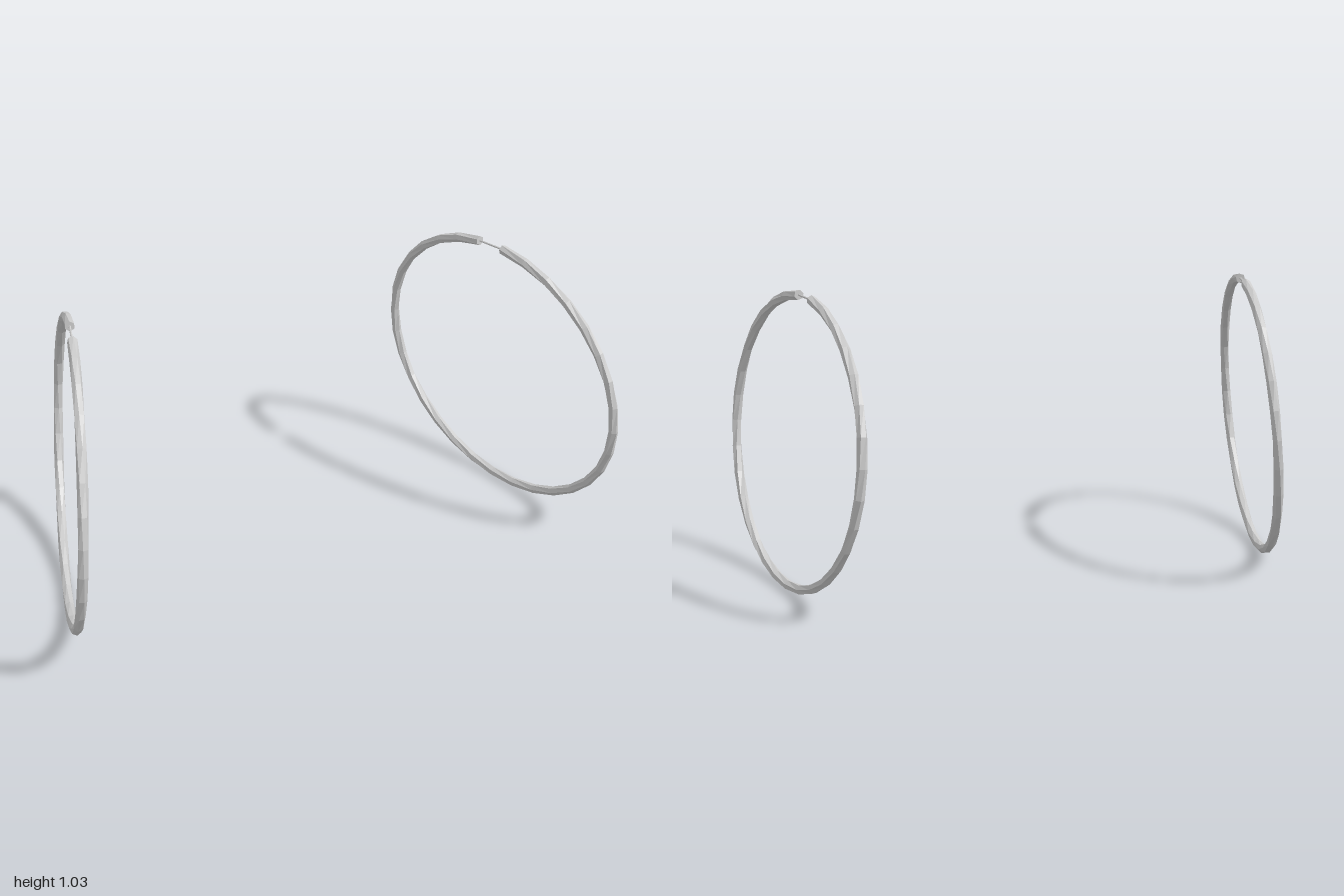
import * as THREE from 'three';

const SEGMENTS = 32;   // divisions around a full hoop, one of them left open
const SIDES = 6;
const TUBE_RADIUS = 0.0172;
const TWIST = THREE.MathUtils.degToRad(15); // turn of the facets per segment
const STEP = (Math.PI * 2) / SEGMENTS;
const START = Math.PI / 2 + THREE.MathUtils.degToRad(8.05); // rear edge of the gap

// Slightly oval hoop path, turned outward at the front and tilted inward at the top
class HoopCurve extends THREE.Curve {
  constructor(side) {
    super();
    this.side = side;
  }
  getPoint(t, target = new THREE.Vector3()) {
    const a = START + t * (Math.PI * 2 - STEP);
    const c = Math.cos(a), s = Math.sin(a);
    return target.set(
      this.side * (0.8385 + 0.138 * c - 0.046 * s),
      0.516 + 0.498 * s,
      0.543 * c
    );
  }
  // Even angular steps
  getUtoTmapping(u) {
    return u;
  }
  // Frames that turn steadily along the path, so the facets spiral
  computeFrenetFrames(segments, closed) {
    const frames = super.computeFrenetFrames(segments, closed);
    frames.tangents.forEach((tangent, i) => {
      frames.normals[i].applyAxisAngle(tangent, i * TWIST * this.side);
      frames.binormals[i].applyAxisAngle(tangent, i * TWIST * this.side);
    });
    return frames;
  }
}

function createHoop(side, material) {
  const hoop = new THREE.Group();
  hoop.name = side > 0 ? 'leftHoop' : 'rightHoop';
  const add = (name, geometry) => {
    const mesh = new THREE.Mesh(geometry, material);
    mesh.name = name;
    hoop.add(mesh);
    return mesh;
  };

  // Main ring
  const curve = new HoopCurve(side);
  add('ring', new THREE.TubeGeometry(curve, SEGMENTS - 1, TUBE_RADIUS, SIDES, false));

  // Flat caps closing both ends of the ring, aligned with the tube's corners
  const frames = curve.computeFrenetFrames(SEGMENTS - 1, false);
  for (const end of [0, 1]) {
    const i = end * (SEGMENTS - 1);
    const out = frames.tangents[i].clone().multiplyScalar(end ? 1 : -1);
    const right = frames.normals[i];
    const up = new THREE.Vector3().crossVectors(out, right);
    const cap = add(end ? 'frontEndCap' : 'rearEndCap', new THREE.CircleGeometry(TUBE_RADIUS, SIDES));
    cap.quaternion.setFromRotationMatrix(new THREE.Matrix4().makeBasis(right, up, out));
    cap.position.copy(curve.getPoint(end));
  }

  // Thin straight pin bridging the gap
  const pinPath = new THREE.LineCurve3(curve.getPoint(0), curve.getPoint(1));
  add('pin', new THREE.TubeGeometry(pinPath, 1, 0.004, SIDES, false));
  return hoop;
}

export function createModel() {
  const model = new THREE.Group();
  model.name = 'hoopEarrings';
  const material = new THREE.MeshStandardMaterial({ color: 0xcccccc, flatShading: true });
  for (const side of [1, -1]) model.add(createHoop(side, material));
  return model;
}
